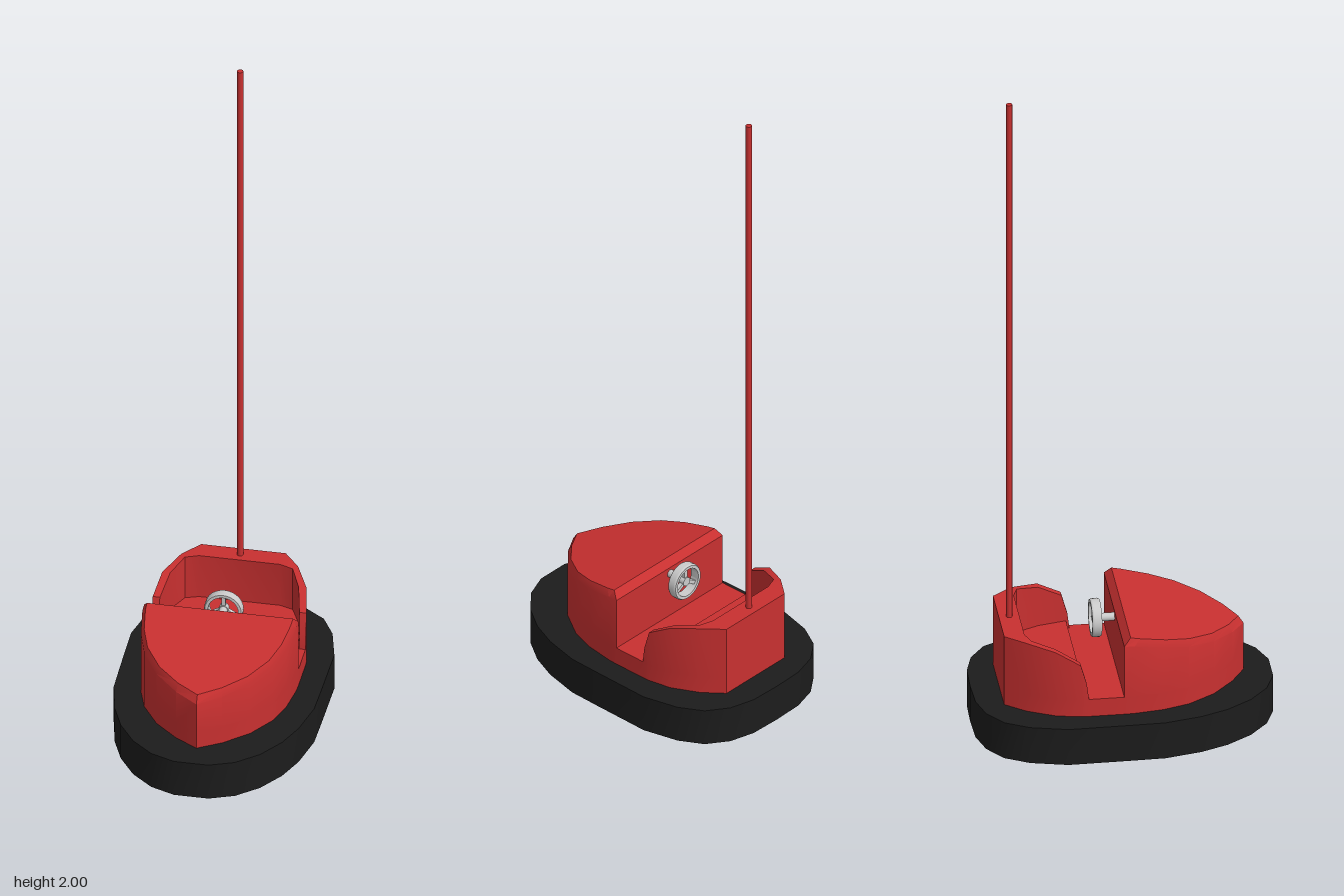
import * as THREE from 'three';
import { toCreasedNormals } from 'three/addons/utils/BufferGeometryUtils.js';

const red = new THREE.MeshStandardMaterial({ color: 0xc83030 });
const black = new THREE.MeshStandardMaterial({ color: 0x1c1c1c });
const grey = new THREE.MeshStandardMaterial({ color: 0xcccccc });

// Skin a row of closed rings of [x, y, z] points and cap both ends
function loft(rings, crease = 0.5) {
  const pos = [];
  const tri = (a, b, c) => pos.push(...a, ...b, ...c);
  const n = rings[0].length;
  for (let i = 0; i < rings.length - 1; i++) {
    for (let j = 0; j < n; j++) {
      const k = (j + 1) % n, a = rings[i], b = rings[i + 1];
      tri(a[j], a[k], b[k]);
      tri(a[j], b[k], b[j]);
    }
  }
  const cap = (ring, flip) => {
    const mid = [0, 1, 2].map(d => ring.reduce((s, p) => s + p[d], 0) / n);
    ring.forEach((p, j) => {
      const q = ring[(j + 1) % n];
      flip ? tri(mid, q, p) : tri(mid, p, q);
    });
  };
  cap(rings[0], true);
  cap(rings[rings.length - 1], false);
  const g = new THREE.BufferGeometry();
  g.setAttribute('position', new THREE.Float32BufferAttribute(pos, 3));
  return toCreasedNormals(g, crease);
}

// Complete a half outline of [x, z] points (front to back) with its mirror image
const mirror = half => [
  ...half,
  ...half.filter(p => p[0] > 0).reverse().map(([x, z]) => [-x, z]),
];
const ringAt = (outline, y) => outline.map(([x, z]) => [x, y, z]);
const slab = (outline, y0, y1) => loft([ringAt(outline, y0), ringAt(outline, y1)]);

export function createModel() {
  const model = new THREE.Group();
  const add = (name, geometry, material, parent = model) => {
    const mesh = new THREE.Mesh(geometry, material);
    mesh.name = name;
    parent.add(mesh);
    return mesh;
  };

  // Rubber bumper
  const bumper = mirror([
    [0.05, 0.432], [0.122, 0.404], [0.185, 0.35], [0.235, 0.277], [0.268, 0.197],
    [0.292, 0.09], [0.294, -0.01], [0.296, -0.19], [0.27, -0.297], [0.231, -0.367],
    [0.17, -0.411], [0.095, -0.432], [0, -0.435],
  ]);
  add('bumper', slab(bumper, 0, 0.115), black);

  // Lower body with the foot well floor
  const nose = [
    [0, 0.353], [0.067, 0.312], [0.136, 0.25], [0.187, 0.172],
    [0.212, 0.095], [0.224, 0.01], [0.225, -0.02],
  ];
  const tail = [[0.225, -0.125], [0.224, -0.145], [0.21, -0.215], [0.17, -0.295], [0.123, -0.353]];
  add('lowerBody', slab(mirror([...nose, ...tail]), 0.1, 0.17), red);

  // Sloping hood with a bevelled edge
  const hoodOutline = mirror(nose);
  const height = z => 0.355 - 0.195 * Math.max(z, 0);
  const hoodEdge = hoodOutline.map(([x, z]) => [x, height(z) - 0.021, z]);
  const hoodTop = hoodOutline.map(([x, z]) => {
    const zt = (z + 0.02) * 0.906;
    return [x * 0.945, height(zt), zt];
  });
  add('hood', loft([ringAt(hoodOutline, 0.17), hoodEdge, hoodTop]), red);

  // Wall wrapping the cockpit: outer x, z, inner x, z, top height
  const half = [
    [0.225, -0.122, 0.207, -0.122, 0.172],
    [0.225, -0.128, 0.206, -0.128, 0.22],
    [0.224, -0.145, 0.203, -0.145, 0.28],
    [0.21, -0.215, 0.187, -0.215, 0.32],
    [0.17, -0.295, 0.157, -0.28, 0.335],
    [0.123, -0.353, 0.118, -0.294, 0.336],
  ];
  const stations = [...half, ...[...half].reverse().map(([a, b, c, d, h]) => [-a, b, -c, d, h])];
  add('cockpitWall', loft(stations.map(([ox, oz, ix, iz, h]) => [
    [ox, h, oz], [ox, 0.17, oz], [ix, 0.17, iz], [ix, h, iz],
  ])), red);

  // Seat base
  const seat = mirror([[0.205, -0.132], [0.203, -0.145], [0.187, -0.215], [0.157, -0.28], [0.118, -0.294]]);
  add('seat', slab(seat, 0.165, 0.195), red);

  // Steering wheel: deep rim, three spokes, hub and column
  const wheel = new THREE.Group();
  wheel.name = 'steeringWheel';
  wheel.position.set(-0.003, 0.314, -0.075);
  model.add(wheel);
  const rimProfile = [[0.044, -0.014], [0.053, -0.014], [0.056, -0.009], [0.056, 0.009],
    [0.053, 0.014], [0.044, 0.014], [0.044, -0.014]].map(p => new THREE.Vector2(...p));
  const rim = toCreasedNormals(new THREE.LatheGeometry(rimProfile, 28), 0.6);
  add('wheelRim', rim.rotateX(Math.PI / 2), grey, wheel);
  for (let i = 0; i < 3; i++) {
    const spoke = new THREE.BoxGeometry(0.011, 0.046, 0.012).translate(0, 0.024, 0);
    add('wheelSpoke', spoke.rotateZ(i * Math.PI * 2 / 3), grey, wheel);
  }
  add('wheelHub', new THREE.CylinderGeometry(0.014, 0.014, 0.018, 16).rotateX(Math.PI / 2), grey, wheel);
  add('steeringColumn', new THREE.CylinderGeometry(0.012, 0.012, 0.06, 16).rotateX(Math.PI / 2), grey, wheel)
    .position.z = 0.03;

  // Tall power pole on the rear deck
  add('pole', new THREE.CylinderGeometry(0.009, 0.009, 1.68, 12), red).position.set(-0.004, 1.16, -0.323);

  return model;
}
